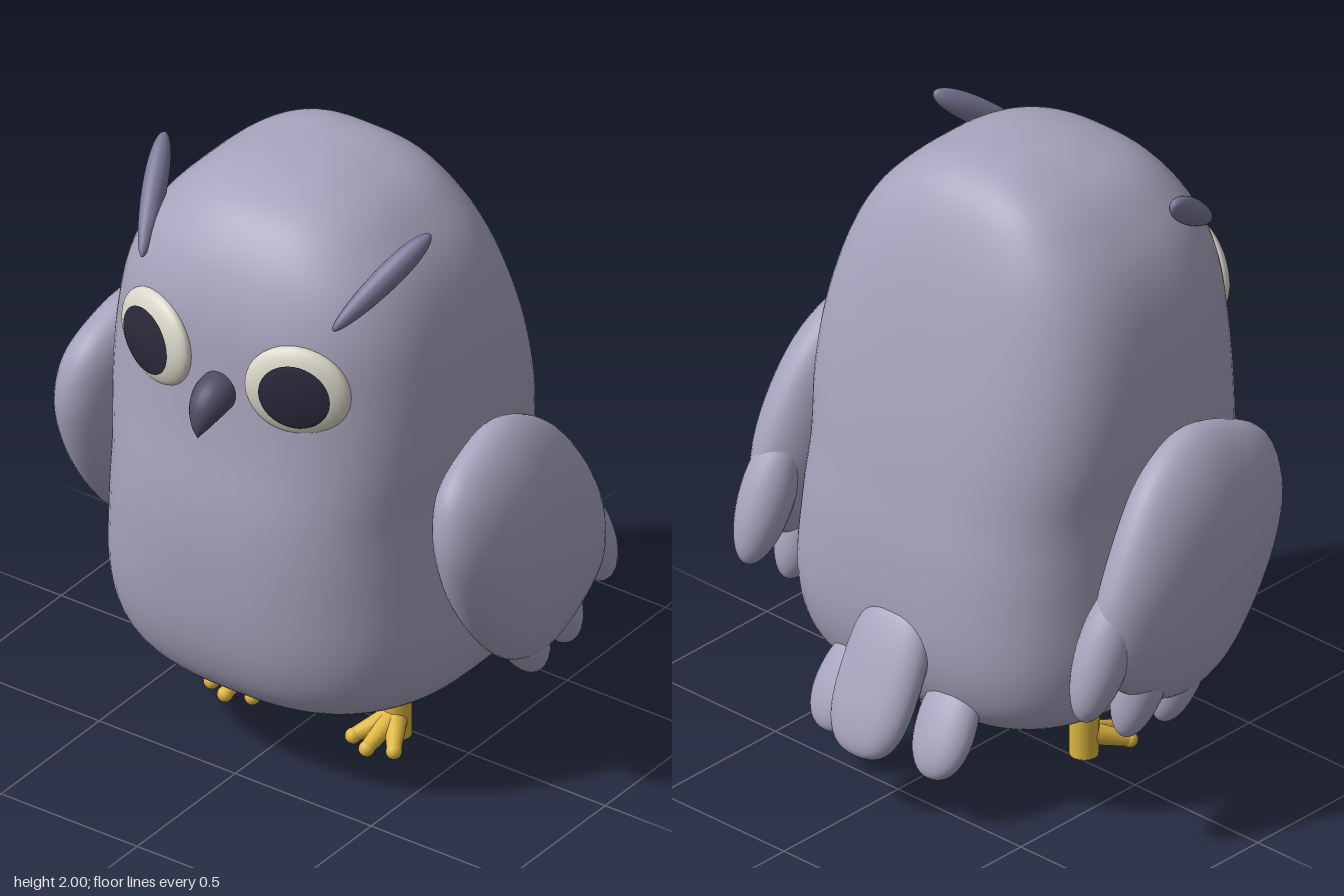
import * as THREE from 'three';

const V = (x, y, z) => new THREE.Vector3(x, y, z);
const material = (name, color) => {
  const m = new THREE.MeshStandardMaterial({ color });
  m.name = name;
  return m;
};
const spow = (v, p) => Math.sign(v) * Math.abs(v) ** p;

// Closed loft: u runs round each ring, v runs from the first ring to the last
function loft(cols, rows, point) {
  const pos = [], index = [];
  for (let j = 0; j <= rows; j++)
    for (let i = 0; i < cols; i++) pos.push(...point(i / cols, j / rows).toArray());
  for (let j = 0; j < rows; j++)
    for (let i = 0; i < cols; i++) {
      const a = j * cols + i, b = j * cols + (i + 1) % cols;
      index.push(a, b, b + cols, a, b + cols, a + cols);
    }
  const g = new THREE.BufferGeometry();
  g.setAttribute('position', new THREE.Float32BufferAttribute(pos, 3));
  g.setIndex(index);
  g.computeVertexNormals();
  return g;
}

// Ellipsoid along dir; width follows the side axis; taper widens the far end, box squares it
function blobGeometry(center, radii, dir, side, { taper = 0, box = 1 } = {}) {
  const y = dir.clone().normalize();
  const x = side.clone().addScaledVector(y, -side.dot(y)).normalize();
  const frame = new THREE.Matrix4().makeBasis(x, y, x.clone().cross(y)).setPosition(center);
  return loft(28, 22, (u, v) => {
    const a = u * Math.PI * 2, b = (v - 0.5) * Math.PI;
    const h = spow(Math.sin(b), box);
    const r = Math.abs(Math.cos(b)) ** box * (1 + taper * h);
    return V(radii[0] * r * spow(Math.sin(a), box), radii[1] * h, radii[2] * r * Math.cos(a))
      .applyMatrix4(frame);
  });
}

// Body sections: height, half width, front z, back z
const BODY = [
  [0.2, 0, 0.05, 0.05], [0.21, 0.2, 0.25, -0.2], [0.235, 0.34, 0.38, -0.33],
  [0.29, 0.48, 0.5, -0.43], [0.38, 0.575, 0.575, -0.495], [0.55, 0.605, 0.625, -0.53],
  [0.8, 0.59, 0.643, -0.52], [1, 0.578, 0.635, -0.49], [1.2, 0.592, 0.605, -0.455],
  [1.4, 0.58, 0.585, -0.41], [1.6, 0.535, 0.57, -0.355], [1.75, 0.465, 0.525, -0.305],
  [1.86, 0.37, 0.455, -0.255], [1.93, 0.28, 0.37, -0.205], [1.975, 0.17, 0.25, -0.14],
  [1.995, 0.08, 0.13, -0.06], [2, 0, 0.03, 0.03],
];

function bodyGeometry() {
  const front = new THREE.CatmullRomCurve3(BODY.map(([y, w, f]) => V(w, y, f)), false, 'catmullrom');
  const back = new THREE.CatmullRomCurve3(BODY.map(([y, , , b]) => V(0, y, b)), false, 'catmullrom');
  return loft(72, 80, (u, v) => {
    const p = front.getPoint(v), zb = back.getPoint(v).z;
    const a = u * Math.PI * 2, c = Math.cos(a);
    const e = 2 / (c > 0 ? 2.6 : 3.2);
    return V(p.x * spow(Math.sin(a), e), p.y, (p.z + zb) / 2 + (p.z - zb) / 2 * spow(c, e));
  });
}

// Wing outline as (z, y), from the shoulder round the front edge
const WING = [
  [0.05, 1.265], [0.22, 1.235], [0.36, 1.15], [0.4, 1], [0.36, 0.82], [0.25, 0.62],
  [0.1, 0.46], [-0.05, 0.42], [-0.2, 0.47], [-0.35, 0.6], [-0.36, 0.78], [-0.27, 1],
  [-0.13, 1.18],
];

function wingGeometry(s) {
  const edge = new THREE.CatmullRomCurve3(WING.map(([z, y]) => V(0, y, z)), true);
  const mid = V(0, 0.85, 0.04);
  return loft(64, 28, (u, v) => {
    const b = (s > 0 ? v : 1 - v) * Math.PI;
    const p = mid.clone().lerp(edge.getPoint(u), Math.abs(Math.sin(b)) ** 0.9);
    const lean = -0.04 * Math.max(0, (p.y - 0.85) / 0.4) ** 2;
    p.x = s * (0.7 + lean - 0.148 * Math.cos(b));
    return p;
  });
}

// Hooked beak: path points are (radius, y, z)
function beakGeometry() {
  const path = new THREE.CatmullRomCurve3([
    V(0, 1.405, 0.53), V(0.055, 1.4, 0.56), V(0.063, 1.392, 0.61), V(0.052, 1.362, 0.652),
    V(0.028, 1.32, 0.68), V(0, 1.283, 0.692)], false, 'catmullrom');
  return loft(24, 24, (u, v) => {
    const p = path.getPoint(v), t = path.getTangent(v).setX(0).normalize();
    const a = u * Math.PI * 2, r = Math.max(0, p.x);
    const n = V(1, 0, 0).cross(t);
    return V(r * Math.sin(a), p.y, p.z).addScaledVector(n, r * Math.cos(a));
  });
}

// Tapered rod between two points
function rodGeometry(from, to, r0, r1) {
  const d = to.clone().sub(from);
  const g = new THREE.CylinderGeometry(r1, r0, d.length(), 16);
  g.applyQuaternion(new THREE.Quaternion().setFromUnitVectors(V(0, 1, 0), d.normalize()));
  return g.translate((from.x + to.x) / 2, (from.y + to.y) / 2, (from.z + to.z) / 2);
}

export function createModel() {
  const plumage = material('greyLilacPlumage', 0xa7a3bb);
  const tuft = material('duskyTuft', 0x7a7896);
  const horn = material('darkBeak', 0x4e4c63);
  const black = material('pupilBlack', 0x2b2a3b);
  const white = material('eyeWhite', 0xdbd8ca);
  const yellow = material('footYellow', 0xdfb640);

  const model = new THREE.Group();
  model.name = 'owl';
  const add = (name, geometry, mat, parent = model) => {
    const mesh = new THREE.Mesh(geometry, mat);
    mesh.name = name;
    parent.add(mesh);
    return mesh;
  };
  const X = V(1, 0, 0);

  add('body', bodyGeometry(), plumage);
  add('beak', beakGeometry(), horn);

  for (const s of [1, -1]) {
    const side = s > 0 ? 'left' : 'right';

    // Flattened eyeball with a thin pupil cap
    const eye = new THREE.Group();
    eye.name = side + 'Eye';
    eye.position.set(s * 0.26, 1.47, 0.54);
    eye.rotation.y = s * 0.33;
    model.add(eye);
    add('eyeball', new THREE.SphereGeometry(1, 40, 24), white, eye).scale.set(0.166, 0.153, 0.052);
    const pupil = new THREE.SphereGeometry(1, 40, 8, 0, Math.PI * 2, 0, 0.73).rotateX(Math.PI / 2);
    add('pupil', pupil, black, eye).scale.set(0.168, 0.162, 0.056);

    // Ear tuft
    add(side + 'Tuft', blobGeometry(V(s * 0.42, 1.805, 0.335), [0.036, 0.205, 0.042],
      V(s * 0.13, 0.22, -0.29), X, { taper: 0.2 }), tuft);

    // Wing with three feather tips
    const wing = new THREE.Group();
    wing.name = side + 'Wing';
    model.add(wing);
    add('wingBlade', wingGeometry(s), plumage, wing);
    for (const [y, z, dz] of [[0.535, 0.01, -0.42], [0.555, -0.16, -0.4], [0.68, -0.335, -0.42]])
      add('wingFeather', blobGeometry(V(s * 0.685, y, z), [0.085, 0.225, 0.085],
        V(0, -0.92, dz), X), plumage, wing);

    // Outer tail feather
    add(side + 'TailFeather', blobGeometry(V(s * 0.2, 0.3, -0.505), [0.105, 0.165, 0.06],
      V(s * 0.12, -0.8, -0.5), X, { box: 0.9 }), plumage);

    // Leg and toes
    const foot = new THREE.Group();
    foot.name = side + 'Foot';
    foot.position.set(s * 0.26, 0, 0.035);
    model.add(foot);
    add('leg', rodGeometry(V(0, 0, 0), V(0, 0.235, 0), 0.045, 0.046), yellow, foot);
    for (const [x, z] of [[-0.075, 0.12], [0, 0.155], [0.075, 0.12]]) {
      add('toe', rodGeometry(V(0, 0.07, 0.005), V(x, 0.026, z), 0.038, 0.022), yellow, foot);
      add('toeTip', new THREE.SphereGeometry(0.025, 16, 10), yellow, foot).position.set(x, 0.025, z);
    }
  }

  // Middle tail feather
  add('middleTailFeather', blobGeometry(V(0, 0.42, -0.575), [0.148, 0.25, 0.065],
    V(0, -0.9, -0.42), X, { box: 0.72 }), plumage);

  // Small crossed barbs under the tail
  for (const d of [V(1, 0, 0), V(0, 1, 0), V(0, 0, 1)])
    add('underTailBarb', blobGeometry(V(0, 0.225, -0.35), [0.011, 0.05, 0.011],
      d, V(d.y, d.z, d.x)), tuft);

  return model;
}
